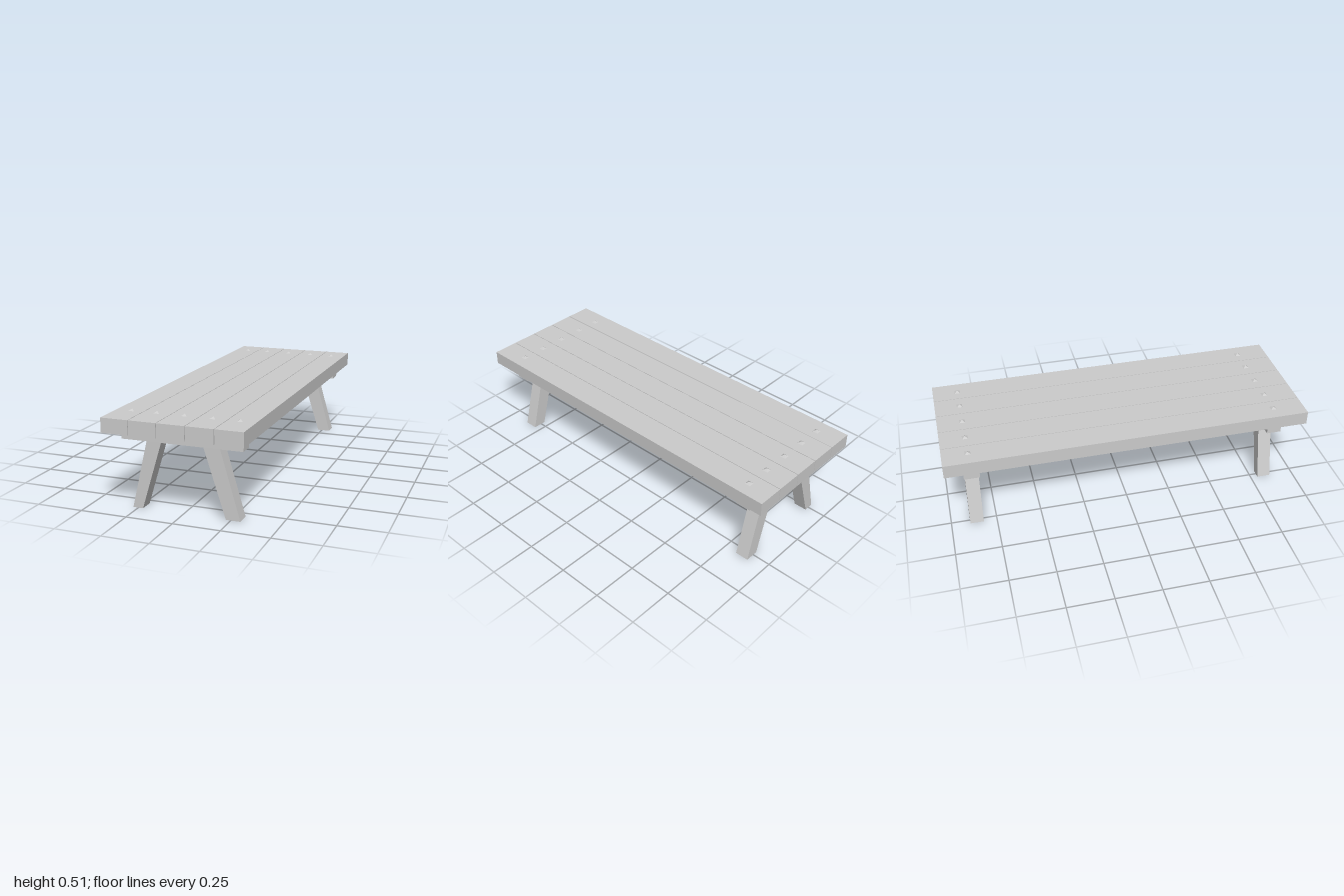
import * as THREE from 'three';

const material = new THREE.MeshStandardMaterial({ color: 0xcccccc, flatShading: true });

function add(parent, name, geometry, x = 0, y = 0, z = 0) {
  const mesh = new THREE.Mesh(geometry, material);
  mesh.name = name;
  mesh.position.set(x, y, z);
  parent.add(mesh);
  return mesh;
}

// Box whose top and bottom ends each have their own x and z range
function legGeometry(top, bottom, height) {
  const geometry = new THREE.BoxGeometry(1, 1, 1);
  const p = geometry.attributes.position;
  for (let i = 0; i < p.count; i++) {
    const upper = p.getY(i) > 0;
    const end = upper ? top : bottom;
    p.setXYZ(i,
      THREE.MathUtils.lerp(end.x[0], end.x[1], p.getX(i) + 0.5),
      upper ? height : 0,
      THREE.MathUtils.lerp(end.z[0], end.z[1], p.getZ(i) + 0.5));
  }
  geometry.computeVertexNormals();
  return geometry;
}

export function createModel() {
  const group = new THREE.Group();
  group.name = 'plankTable';

  // Five long planks with narrow gaps
  for (let i = -2; i <= 2; i++) {
    add(group, 'plank', new THREE.BoxGeometry(0.145, 0.076, 2), i * 0.148, 0.458, 0);
  }

  // A cross rail, a pair of splayed legs and a row of bolts at each end
  const ends = [
    { name: 'front', rail: [0.79, 0.87], top: [0.793, 0.868], bottom: [0.79, 0.865], bolt: 0.827 },
    { name: 'back', rail: [-0.9, -0.815], top: [-0.892, -0.817], bottom: [-0.897, -0.823], bolt: -0.863 },
  ];
  for (const end of ends) {
    const [z0, z1] = end.rail;
    add(group, end.name + 'Rail', new THREE.BoxGeometry(0.646, 0.064, z1 - z0), -0.005, 0.39, (z0 + z1) / 2);

    add(group, end.name + 'RightLeg', legGeometry(
      { x: [-0.191, -0.112], z: end.top }, { x: [-0.278, -0.224], z: end.bottom }, 0.359));
    add(group, end.name + 'LeftLeg', legGeometry(
      { x: [0.112, 0.198], z: end.top }, { x: [0.225, 0.3], z: end.bottom }, 0.359));

    // Pyramid bolt heads
    for (const x of [-0.284, -0.147, 0.001, 0.15, 0.29]) {
      const bolt = add(group, end.name + 'Bolt', new THREE.ConeGeometry(0.0225, 0.011, 4), x, 0.501, end.bolt);
      bolt.rotation.y = Math.PI / 4;
    }
  }
  return group;
}
